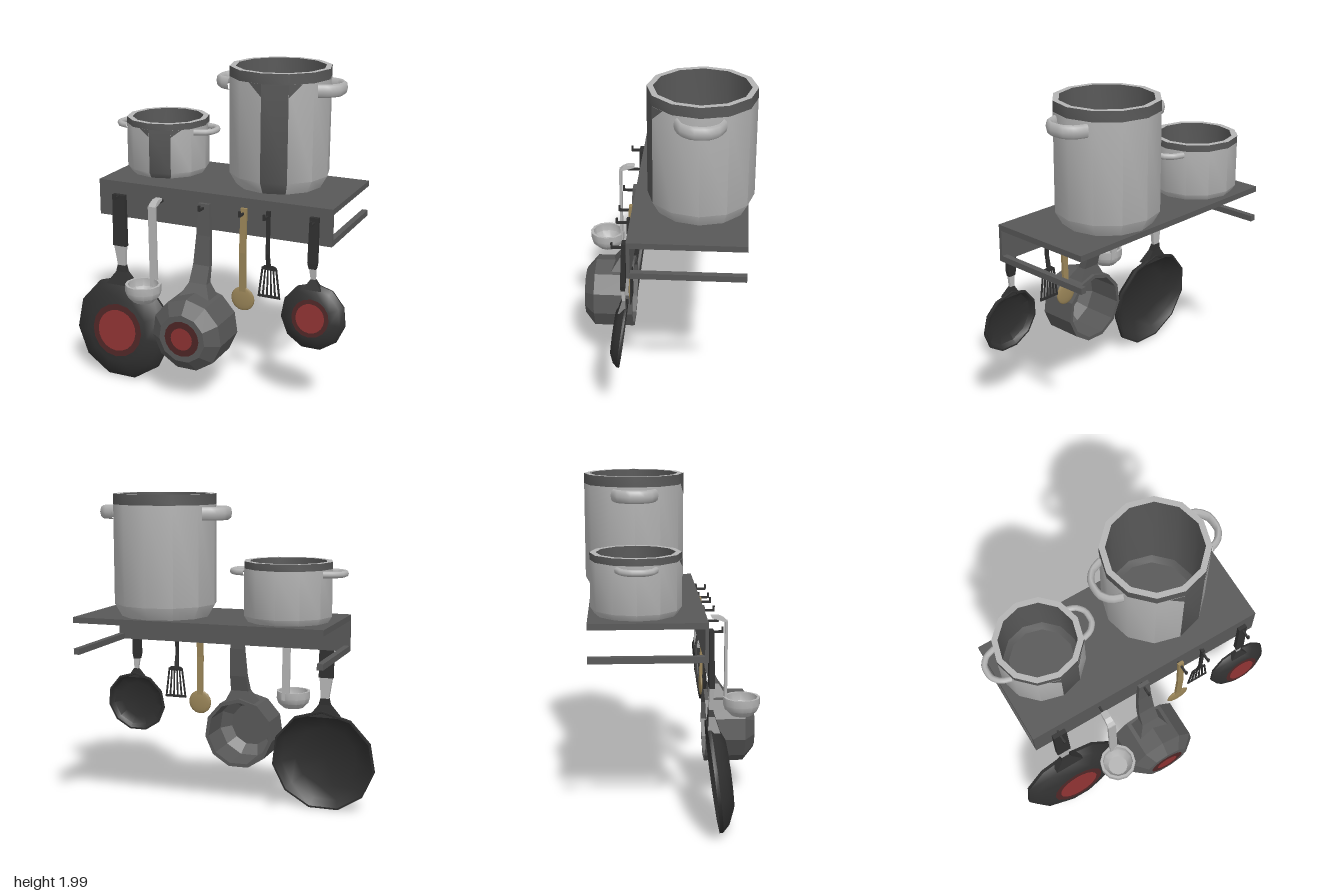
import * as THREE from 'three';
import { toCreasedNormals } from 'three/addons/utils/BufferGeometryUtils.js';

const paint = (name, color) => {
  const m = new THREE.MeshStandardMaterial({ color });
  m.name = name;
  return m;
};
const V2 = (p) => p.map(([x, y]) => new THREE.Vector2(x, y));

export function createModel() {
  const silver = paint('silver', 0xb4b4b4);
  const steel = paint('darkSteel', 0x585858);
  const black = paint('black', 0x303030);
  const red = paint('red', 0x8c3232);
  const maroon = paint('maroon', 0x4e2626);
  const wood = paint('wood', 0x9a8558);

  const model = new THREE.Group();
  model.name = 'kitchenRack';

  const group = (name, x = 0, y = 0, z = 0) => {
    const g = new THREE.Group();
    g.name = name;
    g.position.set(x, y, z);
    model.add(g);
    return g;
  };
  const add = (parent, name, geo, mat, x = 0, y = 0, z = 0) => {
    const m = new THREE.Mesh(geo, mat);
    m.name = name;
    m.position.set(x, y, z);
    parent.add(m);
    return m;
  };
  const box = (parent, name, mat, w, h, d, x, y, z) =>
    add(parent, name, new THREE.BoxGeometry(w, h, d), mat, x, y, z);
  const lathe = (pts, sides, start = 0, sweep = Math.PI * 2, crease = 0.6) =>
    toCreasedNormals(new THREE.LatheGeometry(V2(pts), sides, start, sweep), crease);

  // Tapered bar lofted down through stations [x, y, z, halfWidth, halfThickness]
  const bar = (parent, name, mat, stations) => {
    const rings = stations.map(([x, y, z, w, t]) =>
      [[-w, -t], [-w, t], [w, t], [w, -t]].map(([a, b]) => [x + a, y, z + b]));
    const pos = [];
    const quad = (a, b, c, d) => pos.push(...a, ...b, ...c, ...a, ...c, ...d);
    quad(...rings[0]);
    for (let k = 0; k < rings.length - 1; k++) {
      const u = rings[k], l = rings[k + 1];
      for (let i = 0; i < 4; i++) {
        const j = (i + 1) % 4;
        quad(u[i], l[i], l[j], u[j]);
      }
    }
    quad(...rings[rings.length - 1].slice().reverse());
    const geo = new THREE.BufferGeometry();
    geo.setAttribute('position', new THREE.Float32BufferAttribute(pos, 3));
    geo.computeVertexNormals();
    return add(parent, name, geo, mat);
  };

  // Shelf with front panel and lower side rails
  const shelf = group('shelf');
  box(shelf, 'shelfTop', steel, 1.53, 0.035, 0.665, 0.02, 1.258, -0.158);
  box(shelf, 'frontPanel', steel, 1.53, 0.225, 0.02, 0.02, 1.163, 0.165);
  for (const x of [-0.727, 0.767])
    box(shelf, 'sideRail', steel, 0.036, 0.036, 0.645, x, 1.068, -0.168);

  // Hooks
  for (const x of [-0.59, -0.305, -0.015, 0.245, 0.4, 0.685]) {
    const hook = group('hook', x, 1.19, 0.175);
    box(hook, 'hookArm', black, 0.012, 0.014, 0.09, 0, 0, 0.045);
    box(hook, 'hookTip', black, 0.012, 0.035, 0.012, 0, 0.012, 0.088);
  }

  // Stock pots: light body, one dark panel, dark rim band and interior
  const pot = (name, x, z, R, h, bevelR, bevelH, band, cut, handle) => {
    const g = group(name, x, 1.277, z);
    const step = Math.PI / 6, wall = 0.035;
    const skin = [[0, 0], [bevelR, 0], [R, bevelH], [R, h - band]];
    add(g, 'potBody', lathe(skin, 11, step, step * 11), silver);
    add(g, 'darkPanel', lathe(skin, 1, 0, step), steel);
    add(g, 'rimBand', lathe([[R, h - band], [R, h]], 12), steel);
    add(g, 'rim', lathe([[R, h], [R - wall, h]], 12), silver);
    add(g, 'potInside', lathe([[R - wall, h], [R - wall, 0.06], [R - wall - 0.03, 0.02], [0, 0.02]], 12), steel);
    // Dark corners where the panel meets the band
    const at = (k, y) => new THREE.Vector3(Math.sin(k * step) * (R + 0.002), y, Math.cos(k * step) * (R + 0.002));
    for (const [k, n] of [[0, -1], [1, 2]]) {
      const a = at(k, h - band - cut), b = at(k, h - band), c = b.clone().lerp(at(n, h - band), 0.55);
      const geo = new THREE.BufferGeometry().setFromPoints(n < 0 ? [a, b, c] : [a, c, b]);
      geo.computeVertexNormals();
      add(g, 'panelCorner', geo, steel);
    }
    for (const s of [-1, 1]) {
      const { y, out, span, r, tall } = handle;
      const path = new THREE.CatmullRomCurve3([[R - 0.03, -span], [R + out * 0.45, -span * 0.8],
        [R + out, -span * 0.35], [R + out, span * 0.35], [R + out * 0.45, span * 0.8], [R - 0.03, span]]
        .map(([px, pz]) => new THREE.Vector3(s * px, 0, pz)), false, 'catmullrom', 0.3);
      add(g, 'potHandle', new THREE.TubeGeometry(path, 14, r, 8), silver, 0, y, 0).scale.y = tall;
    }
  };
  pot('largePot', 0.3, -0.215, 0.308, 0.723, 0.265, 0.075, 0.062, 0.075,
    { y: 0.612, out: 0.075, span: 0.125, r: 0.02, tall: 1.95 });
  pot('smallPot', -0.463, -0.217, 0.26, 0.348, 0.237, 0.035, 0.04, 0.045,
    { y: 0.283, out: 0.068, span: 0.105, r: 0.018, tall: 1.05 });

  // Round cookware hung with its opening to the back and base to the front
  const dish = (g, name, profile, mat, crease) => {
    const geo = lathe(profile, 11, Math.PI, Math.PI * 2, crease);
    geo.rotateX(Math.PI / 2);
    return add(g, name, geo, mat);
  };
  const spot = (g, r1, r2, z) => {
    add(g, 'baseRing', new THREE.CircleGeometry(r1, 16), maroon, 0, 0, z + 0.002);
    add(g, 'baseSpot', new THREE.CircleGeometry(r2, 20), red, 0, 0, z + 0.004);
  };

  // Frying pans
  const pan = (name, x, y, z, R, d, r1, r2) => {
    const g = group(name, x, y, z);
    g.rotation.x = -0.12;
    dish(g, 'panBody', [[0, d - 0.015], [R * 0.6, d - 0.015], [R * 0.85, d * 0.45], [R - 0.012, 0], [R, 0],
      [R, d * 0.2], [R * 0.88, d * 0.62], [R * 0.62, d], [0, d]], black, 0.7);
    spot(g, r1, r2, d);
  };
  pan('largePan', -0.57, 0.328, 0.215, 0.335, 0.1, 0.172, 0.133);
  pan('smallPan', 0.697, 0.622, 0.205, 0.201, 0.062, 0.115, 0.088);

  const largeGrip = group('largePanHandle');
  bar(largeGrip, 'grip', black, [[-0.592, 1.2, 0.2, 0.043, 0.014], [-0.59, 0.87, 0.205, 0.045, 0.016]]);
  bar(largeGrip, 'ferrule', silver, [[-0.59, 0.87, 0.205, 0.04, 0.013], [-0.585, 0.73, 0.2, 0.024, 0.011]]);
  bar(largeGrip, 'neck', black, [[-0.585, 0.74, 0.2, 0.027, 0.014], [-0.583, 0.7, 0.205, 0.035, 0.018],
    [-0.58, 0.62, 0.215, 0.095, 0.035]]);
  const smallGrip = group('smallPanHandle');
  bar(smallGrip, 'grip', black, [[0.683, 1.222, 0.195, 0.027, 0.012], [0.683, 0.95, 0.205, 0.029, 0.014],
    [0.684, 0.915, 0.205, 0.022, 0.012]]);
  bar(smallGrip, 'ferrule', silver, [[0.684, 0.92, 0.205, 0.02, 0.01], [0.688, 0.84, 0.2, 0.013, 0.009]]);
  bar(smallGrip, 'neck', black, [[0.688, 0.85, 0.2, 0.015, 0.01], [0.69, 0.79, 0.21, 0.055, 0.022]]);

  // Saucepan
  const sauce = group('saucepan', -0.015, 0.463, 0.205);
  dish(sauce, 'saucepanBody', [[0, 0.28], [0.14, 0.28], [0.205, 0.23], [0.205, 0], [0.228, 0],
    [0.228, 0.24], [0.15, 0.305], [0, 0.305]], steel, 0.2);
  spot(sauce, 0.112, 0.07, 0.305);
  bar(group('saucepanHandle'), 'grip', steel, [[-0.013, 1.215, 0.195, 0.035, 0.012], [-0.013, 1.02, 0.2, 0.045, 0.016],
    [-0.013, 0.84, 0.225, 0.054, 0.018], [-0.013, 0.74, 0.265, 0.058, 0.028], [-0.015, 0.66, 0.285, 0.1, 0.06]]);

  // Ladle
  const ladle = group('ladle');
  add(ladle, 'ladleBowl', lathe([[0, 0], [0.065, 0], [0.1, 0.035], [0.11, 0.065], [0.11, 0.11],
    [0.094, 0.11], [0.092, 0.06], [0.06, 0.015], [0, 0.015]], 12), silver, -0.322, 0.62, 0.408);
  bar(ladle, 'ladleHandle', silver, [[-0.303, 1.19, 0.313, 0.025, 0.008], [-0.299, 0.68, 0.313, 0.025, 0.008]]);
  bar(ladle, 'ladleTop', silver, [[-0.303, 1.222, 0.245, 0.02, 0.024], [-0.303, 1.208, 0.262, 0.022, 0.035],
    [-0.303, 1.185, 0.313, 0.025, 0.008]]);

  // Wooden spoon
  const spoon = group('woodenSpoon');
  bar(spoon, 'spoonHandle', wood, [[0.245, 1.22, 0.197, 0.019, 0.009], [0.245, 0.95, 0.212, 0.02, 0.009],
    [0.245, 0.7, 0.205, 0.02, 0.009]]);
  const bowl = new THREE.SphereGeometry(0.076, 14, 8);
  bowl.scale(1, 1, 0.16);
  add(spoon, 'spoonBowl', bowl, wood, 0.245, 0.655, 0.205);

  // Slotted spatula
  const spatula = group('spatula');
  bar(spatula, 'spatulaHandle', black, [[0.4, 1.222, 0.197, 0.011, 0.008], [0.4, 0.96, 0.2, 0.01, 0.008],
    [0.4, 0.87, 0.184, 0.014, 0.006]]);
  const head = new THREE.Shape(V2([[-0.072, 0.68], [0.072, 0.68], [0.048, 0.87], [0.03, 0.882], [-0.03, 0.882], [-0.048, 0.87]]));
  for (let i = 0; i < 5; i++) {
    const low = (i - 2) * 0.026, high = (i - 2) * 0.0175;
    head.holes.push(new THREE.Path(V2([[low - 0.008, 0.695], [high - 0.005, 0.855], [high + 0.005, 0.855], [low + 0.008, 0.695]])));
  }
  add(spatula, 'spatulaHead', new THREE.ExtrudeGeometry(head, { depth: 0.008, bevelEnabled: false }), black, 0.405, 0, 0.18);

  return model;
}
